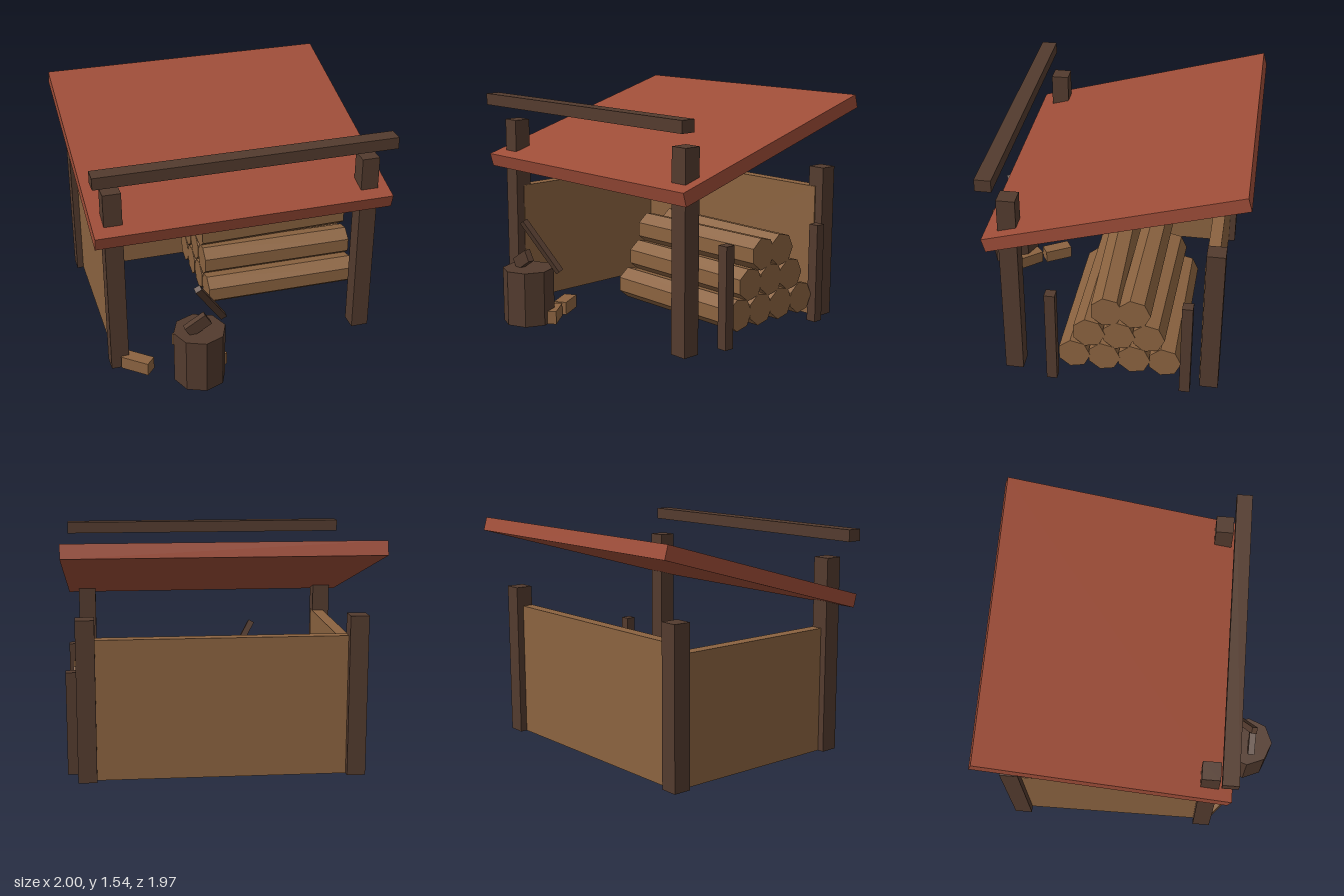
import * as THREE from 'three';

const material = (name, color) => {
  const m = new THREE.MeshStandardMaterial({ color });
  m.name = name;
  return m;
};

export function createModel() {
  const group = new THREE.Group();
  const roofRed = material('roofRed', 0x9e4d38);
  const wood = material('wood', 0x8b6340);
  const darkWood = material('darkWood', 0x533b2e);

  const add = (name, geometry, mat, x, y, z) => {
    const mesh = new THREE.Mesh(geometry, mat);
    mesh.name = name;
    mesh.position.set(x, y, z);
    group.add(mesh);
    return mesh;
  };
  const box = (name, mat, w, h, d, x, y, z) =>
    add(name, new THREE.BoxGeometry(w, h, d), mat, x, y, z);

  // Posts: tall at the front, short at the back
  for (const x of [-0.865, 0.865]) {
    box('frontPost', darkWood, 0.12, 1.325, 0.12, x, 0.6625, 0.52);
    box('backPost', darkWood, 0.12, 1.05, 0.12, x, 0.525, -0.79);
  }

  // Walls on the back and one side
  box('backWall', wood, 1.73, 0.915, 0.08, 0, 0.4575, -0.762);
  box('sideWall', wood, 0.08, 0.85, 1.31, -0.84, 0.425, -0.135);

  // Sloping roof and front beam
  box('roof', roofRed, 2, 0.093, 1.695, 0, 1.2625, -0.1575).rotation.x = 0.278;
  box('frontBeam', darkWood, 2, 0.08, 0.105, 0, 1.47, 0.6325);

  // Stakes holding the log pile
  for (const z of [0.25, -0.635])
    box('stake', darkWood, 0.07, 0.68, 0.07, 0.96, 0.34, z);

  // Seven-sided logs, stacked in rows of four, three and two
  const logGeometry = new THREE.CylinderGeometry(0.11, 0.11, 1.08, 7)
    .toNonIndexed().rotateY(Math.PI).rotateZ(Math.PI / 2);
  logGeometry.computeVertexNormals();
  const yaws = [[-0.012, -0.012, -0.015, -0.01], [-0.015, -0.02, -0.03], [0.02, -0.02]];
  yaws.forEach((row, r) => row.forEach((yaw, i) => {
    const log = add('log', logGeometry, wood, 0.41, 0.19 + r * 0.185, 0.1 - r * 0.1 - i * 0.2);
    log.rotation.y = yaw;
  }));

  // Chopping block
  const stump = new THREE.CylinderGeometry(0.175, 0.175, 0.375, 8).toNonIndexed();
  stump.computeVertexNormals();
  add('choppingBlock', stump, darkWood, -0.375, 0.1875, 0.81);

  // Axe: head set in the block, handle leaning across it
  box('axeHead', darkWood, 0.16, 0.085, 0.045, -0.395, 0.43, 0.835).rotation.z = 0.55;
  const top = new THREE.Vector3(-0.39, 0.7, 0.83);
  const bottom = new THREE.Vector3(-0.18, 0.36, 0.69);
  const mid = top.clone().add(bottom).multiplyScalar(0.5);
  const handle = box('axeHandle', darkWood, 0.045, top.distanceTo(bottom), 0.04, mid.x, mid.y, mid.z);
  handle.quaternion.setFromUnitVectors(new THREE.Vector3(0, 1, 0), top.clone().sub(bottom).normalize());

  // Split pieces lying around the block
  for (const [x, z, turn] of [[-0.755, 0.62, 0.87], [-0.265, 0.69, 0.7], [-0.38, 0.49, 0.53]])
    box('splitPiece', wood, 0.09, 0.09, 0.2, x, 0.045, z).rotation.y = turn;

  return group;
}
